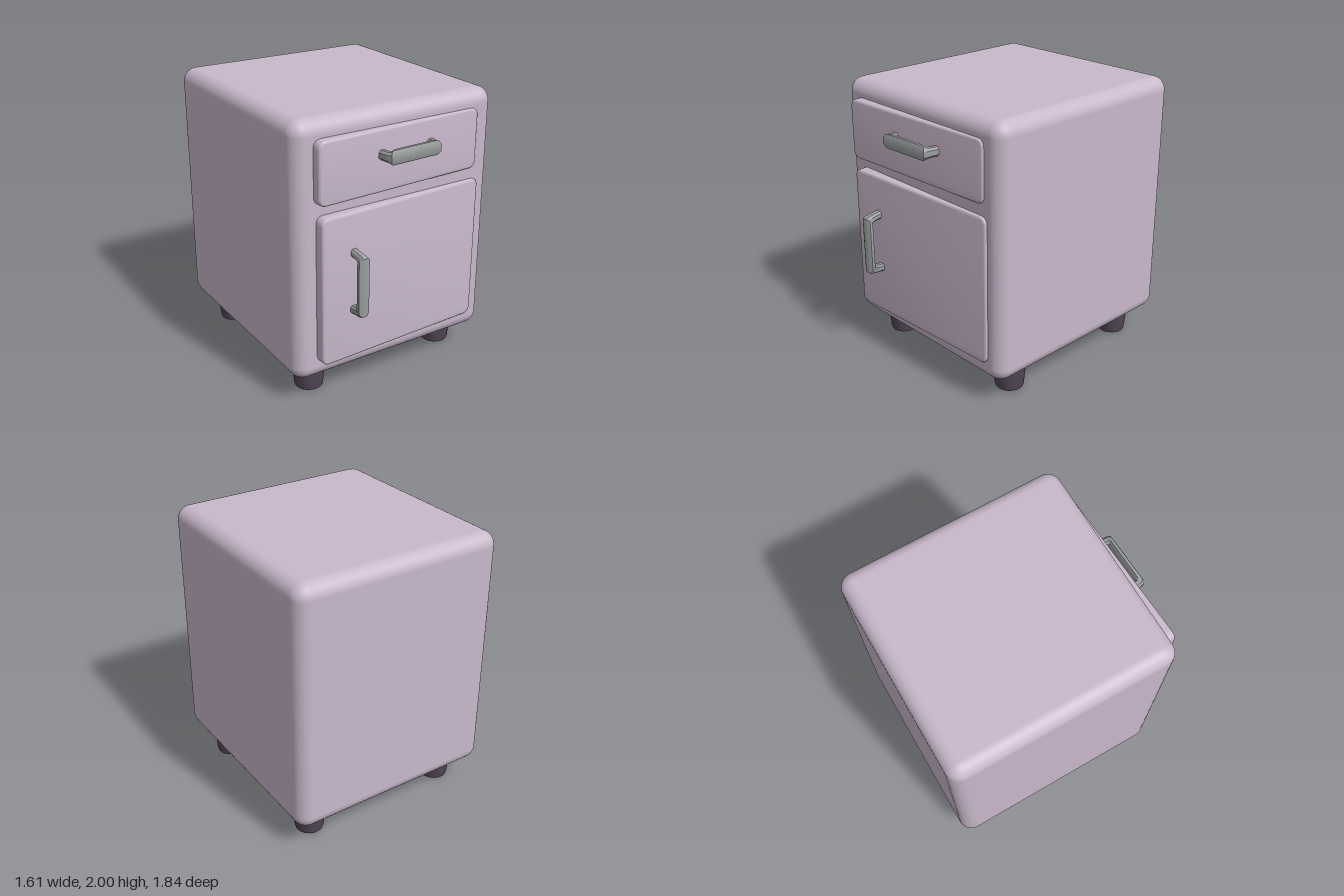
import * as THREE from 'three';
import { RoundedBoxGeometry } from 'three/addons/geometries/RoundedBoxGeometry.js';
import { toCreasedNormals } from 'three/addons/utils/BufferGeometryUtils.js';

function material(name, color) {
  const m = new THREE.MeshStandardMaterial({ color });
  m.name = name;
  return m;
}

function addMesh(parent, name, geometry, mat, x, y, z) {
  const mesh = new THREE.Mesh(geometry, mat);
  mesh.name = name;
  mesh.position.set(x, y, z);
  parent.add(mesh);
  return mesh;
}

// Rounded, bevelled plate whose front face lies at z = 0
function panelGeometry(width, height, depth) {
  const b = 0.016, r = 0.04, w = width / 2 - b, h = height / 2 - b;
  const s = new THREE.Shape();
  s.moveTo(-w + r, -h);
  s.lineTo(w - r, -h);
  s.quadraticCurveTo(w, -h, w, -h + r);
  s.lineTo(w, h - r);
  s.quadraticCurveTo(w, h, w - r, h);
  s.lineTo(-w + r, h);
  s.quadraticCurveTo(-w, h, -w, h - r);
  s.lineTo(-w, -h + r);
  s.quadraticCurveTo(-w, -h, -w + r, -h);
  const g = new THREE.ExtrudeGeometry(s, {
    depth: depth - 2 * b, bevelThickness: b, bevelSize: b, bevelSegments: 3, curveSegments: 5,
  });
  g.translate(0, 0, b - depth);
  return toCreasedNormals(g, 0.7);
}

// Chamfered bar lofted through stations; the bar runs along x and stands out in z
function handleGeometry(halfLength, depth, halfWidth) {
  // outer u, outer v, inner u, inner v, width factor
  const half = [
    [1.0, -0.2, 0.76, -0.2, 0.66],
    [0.97, 0.2, 0.74, 0.2, 0.66],
    [0.93, 0.86, 0.7, 0.56, 0.72],
    [0.88, 1.0, 0.68, 0.62, 0.9],
    [0.82, 1.0, 0.62, 0.62, 1.0],
  ];
  const mirrored = half.map(([a, b, c, d, w]) => [-a, b, -c, d, w]).reverse();
  const stations = [...half, ...mirrored];
  const ring = [[1, 0.55], [0.5, 1], [-0.5, 1], [-1, 0.55], [-1, -0.55], [-0.5, -1], [0.5, -1], [1, -0.55]];
  const n = ring.length, pos = [], index = [];
  stations.forEach(([ou, ov, iu, iv, w], i) => {
    ring.forEach(([s, t], j) => {
      const k = (s + 1) / 2;
      pos.push((iu + (ou - iu) * k) * halfLength, t * w * halfWidth, (iv + (ov - iv) * k) * depth);
      if (i < stations.length - 1) {
        const a = i * n + j, b = i * n + (j + 1) % n;
        index.push(a, b, b + n, a, b + n, a + n);
      }
    });
  });
  const g = new THREE.BufferGeometry();
  g.setAttribute('position', new THREE.Float32BufferAttribute(pos, 3));
  g.setIndex(index);
  return toCreasedNormals(g, 0.7);
}

export function createModel() {
  const model = new THREE.Group();
  model.name = 'bedsideCabinet';
  const lilac = material('lilac paint', 0xc8b8cb);
  const metal = material('grey metal', 0x9a9e9f);
  const dark = material('dark purple wood', 0x54495a);

  // Cabinet body, set slightly askew to its front panels
  const body = addMesh(model, 'body', new RoundedBoxGeometry(1.565, 1.81, 1.64, 5, 0.1), lilac, 0, 1.095, -0.075);
  body.rotation.y = -0.034;

  // Drawer and door fronts
  const drawer = addMesh(model, 'drawerFront', panelGeometry(1.28, 0.425, 0.1), lilac, -0.03, 1.668, 0.785);
  const door = addMesh(model, 'doorFront', panelGeometry(1.29, 1.053, 0.1), lilac, -0.01, 0.85, 0.792);
  drawer.rotation.y = door.rotation.y = 0.008;

  // Handles
  addMesh(model, 'drawerHandle', handleGeometry(0.227, 0.105, 0.049), metal, 0, 1.712, 0.785);
  const doorHandle = addMesh(model, 'doorHandle', handleGeometry(0.236, 0.123, 0.041), metal, -0.412, 0.89, 0.797);
  doorHandle.rotation.z = Math.PI / 2;

  // Tapered feet
  const profile = [[0, 0], [0.085, 0], [0.097, 0.006], [0.102, 0.022], [0.119, 0.21], [0, 0.21]]
    .map(([x, y]) => new THREE.Vector2(x, y));
  const foot = toCreasedNormals(new THREE.LatheGeometry(profile, 24), 0.8);
  const feet = [
    ['frontRightFoot', -0.572, 0.483], ['frontLeftFoot', 0.563, 0.487],
    ['backRightFoot', -0.538, -0.667], ['backLeftFoot', 0.582, -0.628],
  ];
  for (const [name, x, z] of feet) addMesh(model, name, foot, dark, x, 0, z);

  return model;
}
